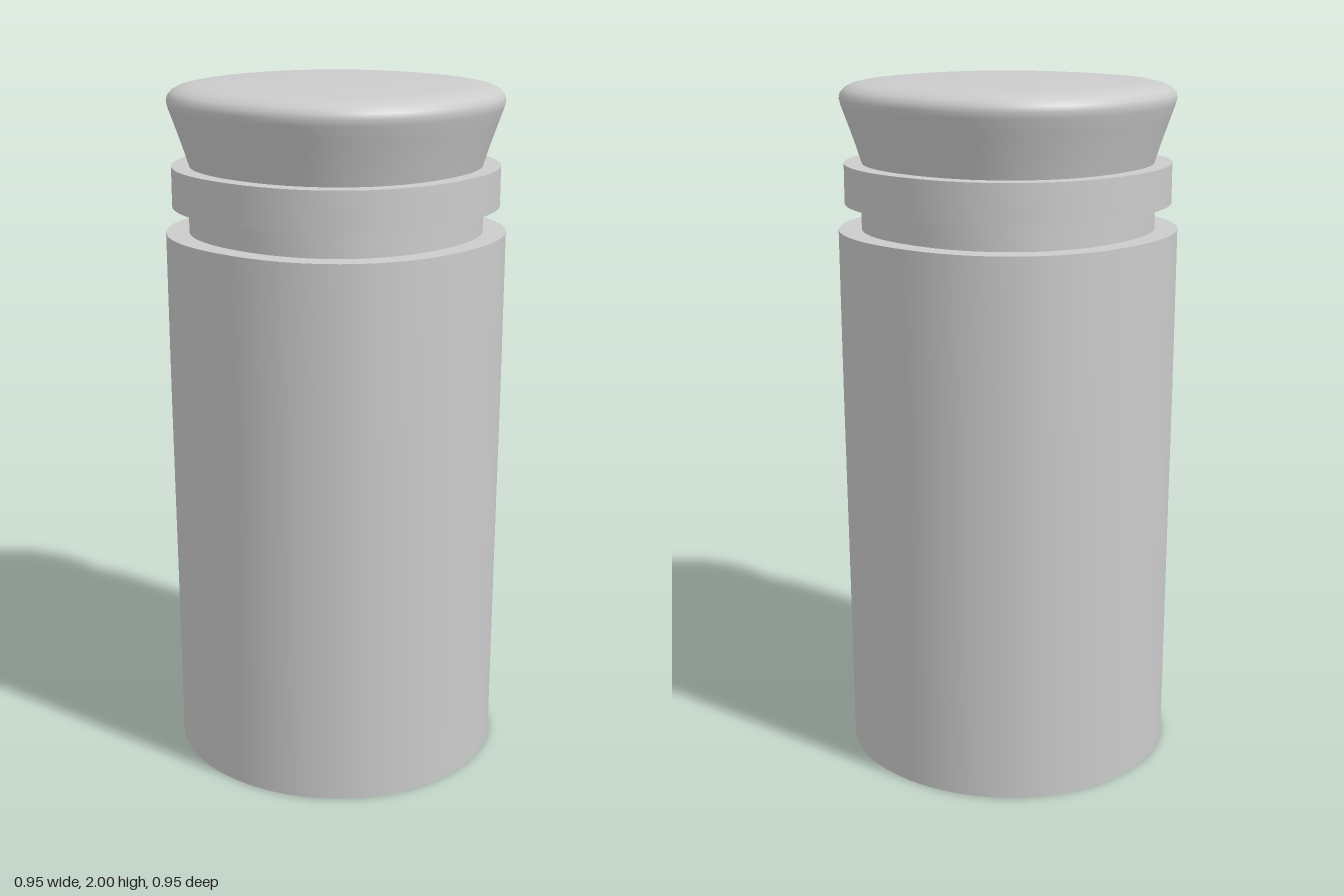
import * as THREE from 'three';
import { toCreasedNormals } from 'three/addons/utils/BufferGeometryUtils.js';

const material = new THREE.MeshStandardMaterial({ color: 0xcccccc });

// Revolve a [radius, height] profile, then square the circle slightly:
// power(y) is the superellipse exponent (2 = true circle).
function squircleLathe(name, profile, power) {
  const geo = new THREE.LatheGeometry(profile.map(([r, y]) => new THREE.Vector2(r, y)), 96);
  const pos = geo.attributes.position;
  for (let i = 0; i < pos.count; i++) {
    const x = pos.getX(i), y = pos.getY(i), z = pos.getZ(i);
    const r = Math.hypot(x, z);
    if (r < 1e-6) continue;
    const n = power(y);
    const k = Math.pow(Math.abs(x / r) ** n + Math.abs(z / r) ** n, -1 / n);
    pos.setXYZ(i, x * k, y, z * k);
  }
  const mesh = new THREE.Mesh(toCreasedNormals(geo, 0.6), material);
  mesh.name = name;
  return mesh;
}

export function createModel() {
  const group = new THREE.Group();
  group.name = 'stopperedJar';
  const soft = () => 2.21;

  // Tall body, rounder at the foot than at the shoulder
  group.add(squircleLathe('body',
    [[0, 0], [0.474, 0], [0.474, 0.5], [0.475, 1.1], [0.474, 1.58], [0, 1.58]],
    (y) => 2.07 + 0.15 * Math.min(1, y / 1.58)));

  // Narrow neck
  group.add(squircleLathe('neck', [[0.41, 1.57], [0.41, 1.66]], soft));

  // Collar at the mouth
  group.add(squircleLathe('collar',
    [[0, 1.655], [0.456, 1.655], [0.456, 1.77], [0, 1.77]], soft));

  // Flared stopper with a rounded top edge
  group.add(squircleLathe('stopper',
    [[0.405, 1.765], [0.425, 1.83], [0.447, 1.895], [0.461, 1.935], [0.465, 1.952],
      [0.462, 1.967], [0.451, 1.98], [0.432, 1.99], [0.405, 1.996], [0.36, 2], [0, 2]], soft));

  return group;
}
